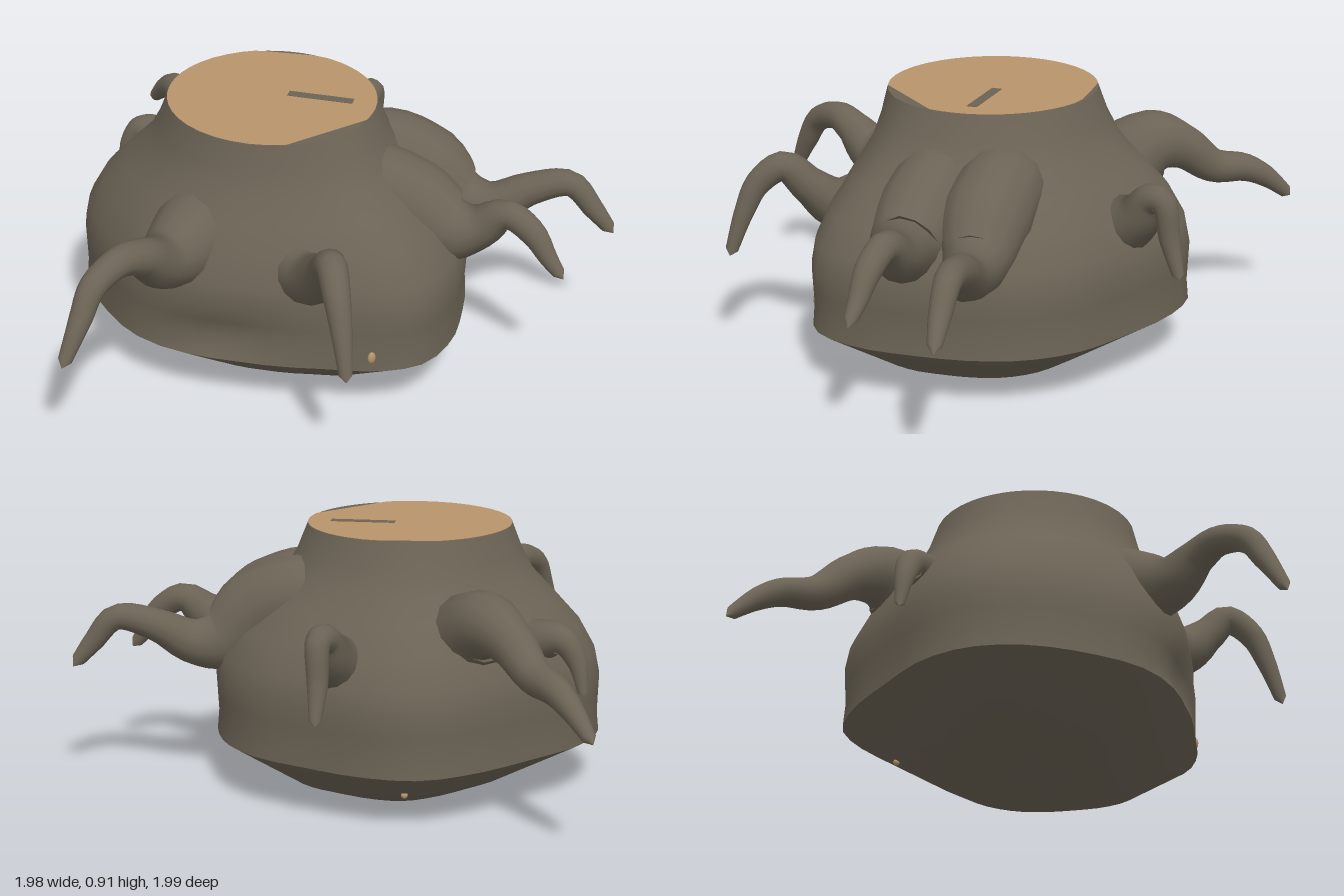
import * as THREE from 'three';

const N = 48; // points around the trunk

// widest outline of the stump, seen from above [x, z]
const outline = new THREE.CatmullRomCurve3([
  [0.70, 0.15], [0.68, 0.34], [0.60, 0.50], [0.47, 0.65], [0.32, 0.78], [0.15, 0.84], [0, 0.79], [-0.13, 0.69],
  [-0.31, 0.55], [-0.46, 0.39], [-0.55, 0.17], [-0.55, -0.05], [-0.50, -0.25], [-0.39, -0.40], [-0.22, -0.48],
  [0.02, -0.49], [0.26, -0.48], [0.45, -0.42], [0.57, -0.27], [0.65, -0.05],
].map(([x, z]) => new THREE.Vector3(x, 0, z)), true);
const rim = Array.from({ length: N }, (_, k) => outline.getPoint(k / N));

// ring between the round cut (t = 0) and the outline (t = 1), with a dent at the front right
function barkRing(y, t, dent = 0) {
  return rim.map((p) => {
    const a = Math.atan2(p.z - 0.13, p.x - 0.035);
    const cut = new THREE.Vector3(0.03 + 0.353 * Math.cos(a), 0, 0.12 + 0.36 * Math.sin(a));
    const q = cut.lerp(p, t - dent * Math.exp(-(((a - 2.5) / 0.35) ** 2)));
    q.y = y;
    return q;
  });
}

// ring shrunk towards a centre point
const shrunk = (ring, cx, y, cz, s) =>
  ring.map((p) => new THREE.Vector3(cx + (p.x - cx) * s, y, cz + (p.z - cz) * s));

// surface through a stack of closed rings
function loft(rings) {
  const pos = [], idx = [];
  rings.forEach((r) => r.forEach((p) => pos.push(p.x, p.y, p.z)));
  for (let i = 0; i < rings.length - 1; i++) {
    for (let j = 0; j < N; j++) {
      const a = i * N + j, b = i * N + (j + 1) % N;
      idx.push(a, a + N, b, b, a + N, b + N);
    }
  }
  const g = new THREE.BufferGeometry();
  g.setAttribute('position', new THREE.Float32BufferAttribute(pos, 3));
  g.setIndex(idx);
  g.computeVertexNormals();
  return g;
}

// tapering root: each point is [x, y, z, radius]
function rootGeometry(points) {
  const path = new THREE.CatmullRomCurve3(points.map((p) => new THREE.Vector3(p[0], p[1], p[2])));
  const steps = 36, sides = 14;
  const g = new THREE.TubeGeometry(path, steps, 1, sides);
  const pos = g.attributes.position, v = new THREE.Vector3();
  for (let i = 0; i <= steps; i++) {
    const c = path.getPointAt(i / steps);
    const f = path.getUtoTmapping(i / steps) * (points.length - 1);
    const k = Math.min(Math.floor(f), points.length - 2);
    const r = i === steps ? 0 : THREE.MathUtils.lerp(points[k][3], points[k + 1][3], f - k);
    for (let j = 0; j <= sides; j++) {
      const n = i * (sides + 1) + j;
      v.fromBufferAttribute(pos, n).sub(c).multiplyScalar(r).add(c);
      pos.setXYZ(n, v.x, v.y, v.z);
    }
  }
  return g;
}

// every root starts inside the trunk and flares out of it
const roots = {
  rightRoot: [[-0.18, 0.55, 0.17, 0.17], [-0.36, 0.56, 0.25, 0.155], [-0.53, 0.54, 0.31, 0.095], [-0.63, 0.605, 0.35, 0.063],
    [-0.72, 0.63, 0.37, 0.052], [-0.84, 0.59, 0.40, 0.045], [-0.90, 0.50, 0.42, 0.038], [-0.985, 0.355, 0.44, 0.02]],
  frontRightRoot: [[-0.12, 0.54, 0.34, 0.13], [-0.14, 0.51, 0.50, 0.115], [-0.155, 0.51, 0.63, 0.09], [-0.17, 0.58, 0.72, 0.065],
    [-0.20, 0.655, 0.80, 0.052], [-0.235, 0.60, 0.88, 0.045], [-0.25, 0.50, 0.93, 0.035], [-0.265, 0.34, 0.985, 0.02]],
  frontLeftRoot: [[0.12, 0.61, 0.24, 0.13], [0.23, 0.655, 0.42, 0.145], [0.33, 0.60, 0.54, 0.15], [0.41, 0.53, 0.64, 0.12],
    [0.48, 0.54, 0.70, 0.078], [0.54, 0.60, 0.77, 0.05], [0.59, 0.55, 0.85, 0.045], [0.62, 0.47, 0.90, 0.032], [0.65, 0.40, 0.95, 0.018]],
  leftRoot: [[0.25, 0.62, 0.17, 0.12], [0.40, 0.67, 0.28, 0.145], [0.50, 0.61, 0.39, 0.15], [0.58, 0.51, 0.47, 0.11],
    [0.66, 0.50, 0.55, 0.08], [0.76, 0.56, 0.62, 0.058], [0.87, 0.59, 0.71, 0.045], [0.93, 0.50, 0.77, 0.036], [0.985, 0.41, 0.82, 0.02]],
  backRoot: [[0.16, 0.53, -0.10, 0.17], [0.16, 0.58, -0.28, 0.16], [0.17, 0.66, -0.43, 0.115], [0.175, 0.63, -0.55, 0.08],
    [0.185, 0.54, -0.68, 0.06], [0.205, 0.52, -0.80, 0.05], [0.215, 0.48, -0.88, 0.04], [0.225, 0.39, -0.99, 0.02]],
  smallLeftRoot: [[0.38, 0.48, -0.06, 0.14], [0.52, 0.52, -0.10, 0.115], [0.59, 0.57, -0.13, 0.08], [0.63, 0.635, -0.15, 0.055],
    [0.67, 0.635, -0.17, 0.043], [0.69, 0.50, -0.19, 0.035], [0.72, 0.37, -0.21, 0.018]],
  smallBackRoot: [[-0.07, 0.50, -0.30, 0.11], [-0.10, 0.56, -0.41, 0.075], [-0.13, 0.57, -0.48, 0.05],
    [-0.16, 0.50, -0.52, 0.035], [-0.17, 0.38, -0.545, 0.015]],
};

export function createModel() {
  const bark = new THREE.MeshStandardMaterial({ color: 0x6b6355 });
  bark.name = 'bark';
  const wood = new THREE.MeshStandardMaterial({ color: 0xb8946a });
  wood.name = 'cutWood';

  const model = new THREE.Group();
  model.name = 'treeStump';
  const add = (name, geometry, material) => {
    const mesh = new THREE.Mesh(geometry, material);
    mesh.name = name;
    model.add(mesh);
    return mesh;
  };

  // trunk, from the widest edge up to the cut
  const base = barkRing(0.18, 1, 0.1);
  const top = barkRing(0.908, 0);
  add('trunk', loft([base, barkRing(0.25, 0.98, 0.25), barkRing(0.32, 0.99, 0.15), barkRing(0.39, 1), barkRing(0.47, 0.95),
    barkRing(0.57, 0.77), barkRing(0.66, 0.5), barkRing(0.74, 0.25), barkRing(0.82, 0.11), top]), bark);

  // rounded underside tapering to a small flat bottom
  const foot = shrunk(base, 0.09, 0.012, 0.2, 0.58);
  add('underside', loft([shrunk(base, 0.09, 0, 0.2, 0), foot, base]), bark);

  // cut face, with slivers of bark left at its front and back left edges
  add('barkEdge', loft([top, shrunk(top, 0.03, 0.908, 0.12, 0)]), bark);
  const cut = top.map((p) => {
    const trim = Math.max(0, p.x - p.z - 0.39) / 2;
    return new THREE.Vector3(p.x - trim, 0.91, Math.min(p.z + trim, 0.44));
  });
  add('cutFace', loft([cut, shrunk(cut, 0.03, 0.91, 0.12, 0)]), wood);
  const crack = add('crack', new THREE.BoxGeometry(0.225, 0.003, 0.035), bark);
  crack.position.set(0.16, 0.91, 0.22);
  crack.rotation.y = -0.86;

  // small bare spots low on the front and on the underside
  for (const [name, position, scale] of [
    ['frontBareSpot', [-0.01, 0.23, 0.776], [0.016, 0.022, 0.01]],
    ['lowerBareSpot', [0.37, 0.07, -0.245], [0.012, 0.012, 0.012]],
  ]) {
    const spot = add(name, new THREE.SphereGeometry(1, 12, 8), wood);
    spot.position.set(...position);
    spot.scale.set(...scale);
  }

  for (const [name, points] of Object.entries(roots)) add(name, rootGeometry(points), bark);
  return model;
}
